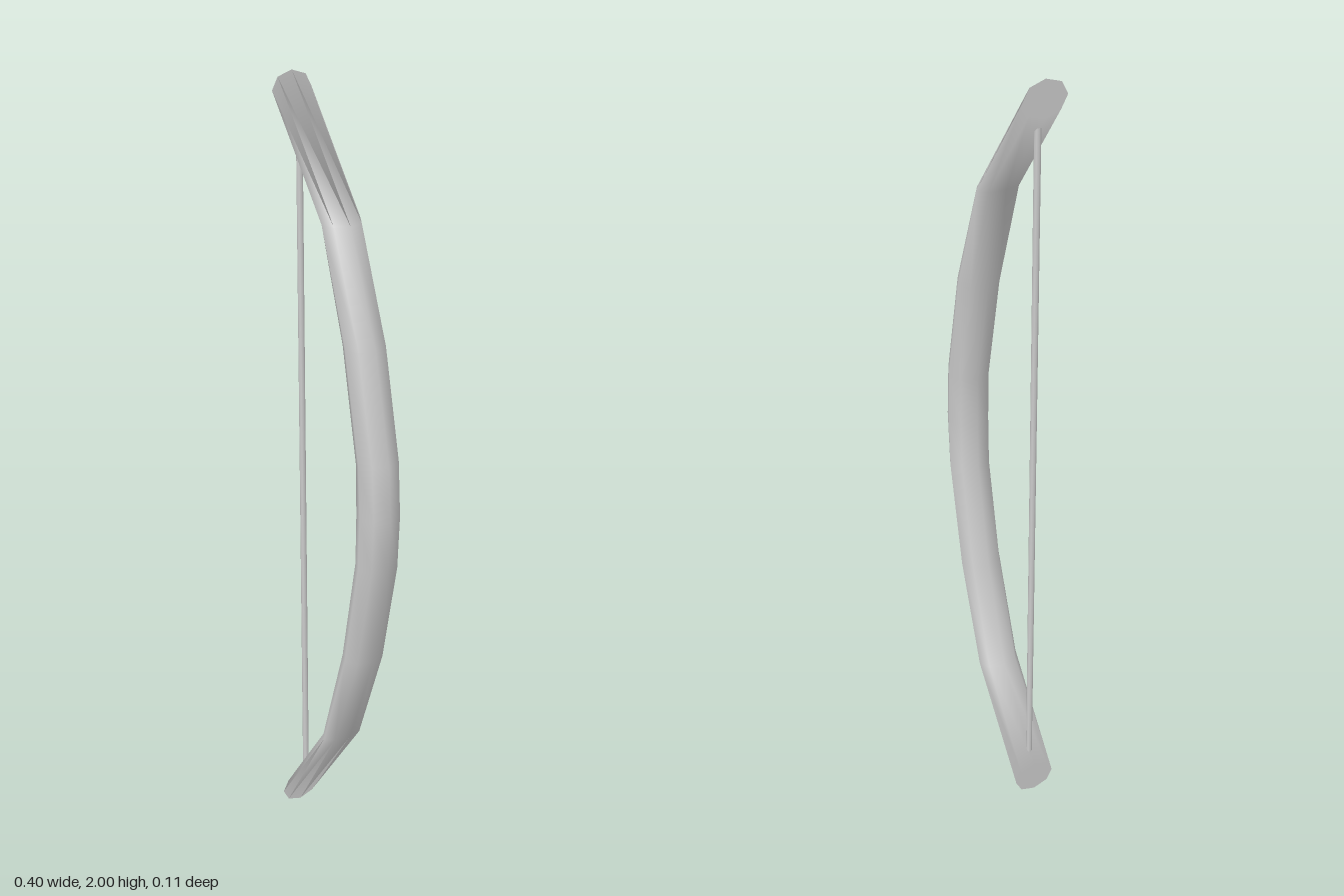
import * as THREE from 'three';

const SIDES = 8;
const HALF_DEPTH = 0.055;

// Upper limb stations, tip to grip: outer x, y and inner x, y
const UPPER = [
  [-0.2, 2.0, -0.2, 1.915],
  [0.035, 1.68, -0.04, 1.69],
  [0.135, 1.41, 0.045, 1.41],
  [0.191, 1.14, 0.098, 1.13],
];

function limbGeometry() {
  // Mirror the upper stations about the grip at y = 1
  const lower = UPPER.map(([ox, oy, ix, iy]) => [ox, 2 - oy, ix, 2 - iy]).reverse();
  const stations = [...UPPER, [0.2, 1, 0.1, 1], ...lower];
  const pos = [];
  const idx = [];

  // Octagonal cross-sections
  for (const [ox, oy, ix, iy] of stations) {
    for (let s = 0; s < SIDES; s++) {
      const a = (s / SIDES) * Math.PI * 2;
      const c = Math.cos(a) / 2;
      pos.push(
        (ox + ix) / 2 + c * (ox - ix),
        (oy + iy) / 2 + c * (oy - iy),
        Math.sin(a) * HALF_DEPTH
      );
    }
  }

  // Skin between neighbouring sections
  for (let i = 0; i < stations.length - 1; i++) {
    for (let s = 0; s < SIDES; s++) {
      const n = (s + 1) % SIDES;
      const a = i * SIDES + s, b = i * SIDES + n;
      idx.push(a, b, a + SIDES, b, b + SIDES, a + SIDES);
    }
  }

  // Upright tip faces
  const last = (stations.length - 1) * SIDES;
  for (let s = 1; s < SIDES - 1; s++) {
    idx.push(0, s + 1, s);
    idx.push(last, last + s, last + s + 1);
  }

  const geo = new THREE.BufferGeometry();
  geo.setAttribute('position', new THREE.Float32BufferAttribute(pos, 3));
  geo.setIndex(idx);
  geo.computeVertexNormals();

  // The skin blends smoothly into the tip faces
  for (let s = 0; s < SIDES; s++) {
    geo.attributes.normal.setXYZ(s, -1, 0, 0);
    geo.attributes.normal.setXYZ(last + s, -1, 0, 0);
  }
  return geo;
}

export function createModel() {
  const group = new THREE.Group();
  group.name = 'bow';
  const material = new THREE.MeshStandardMaterial({ color: 0xcccccc });

  // Curved bow body
  const limbs = new THREE.Mesh(limbGeometry(), material);
  limbs.name = 'bowLimbs';
  group.add(limbs);

  // Straight string, ends buried in the limbs
  const string = new THREE.Mesh(new THREE.CylinderGeometry(0.008, 0.008, 1.82, 8), material);
  string.name = 'bowString';
  string.position.set(-0.171, 1, 0);
  group.add(string);

  return group;
}
